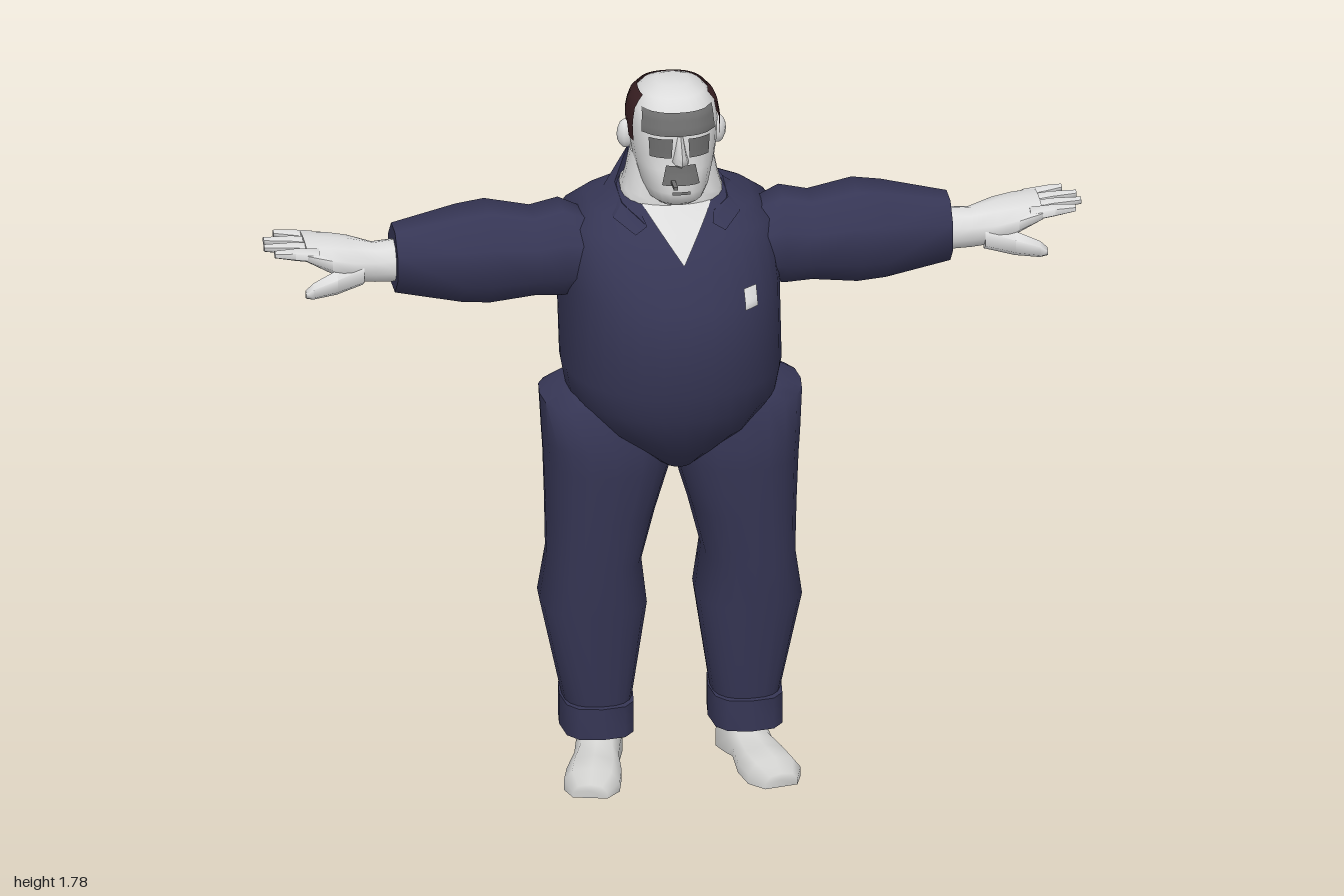
import * as THREE from 'three';
import { toCreasedNormals } from 'three/addons/utils/BufferGeometryUtils.js';

const mat = (name, color) => new THREE.MeshStandardMaterial({ name, color, side: THREE.DoubleSide });

// Skin rows of points into a surface; closed rows are tubes with capped ends
function loft(rows, closed = true, crease = 1.1) {
  const n = rows[0].length, pos = rows.flat(2), idx = [];
  const span = closed ? n : n - 1;
  for (let r = 0; r < rows.length - 1; r++) {
    for (let i = 0; i < span; i++) {
      const a = r * n + i, b = r * n + (i + 1) % n;
      idx.push(a, b, b + n, a, b + n, a + n);
    }
  }
  if (closed) {
    [0, rows.length - 1].forEach((r, end) => {
      const c = pos.length / 3;
      for (let k = 0; k < 3; k++) pos.push(rows[r].reduce((sum, p) => sum + p[k], 0) / n);
      for (let i = 0; i < n; i++) {
        const a = r * n + i, b = r * n + (i + 1) % n;
        idx.push(...(end ? [a, b, c] : [b, a, c]));
      }
    });
    // Turn the faces outward
    const at = i => new THREE.Vector3().fromArray(pos, i * 3);
    let volume = 0;
    for (let i = 0; i < idx.length; i += 3) volume += at(idx[i]).dot(at(idx[i + 1]).cross(at(idx[i + 2])));
    if (volume < 0) idx.reverse();
  }
  const g = new THREE.BufferGeometry();
  g.setAttribute('position', new THREE.Float32BufferAttribute(pos, 3));
  g.setIndex(idx);
  return toCreasedNormals(g, crease);
}

// Level outline point: half width w, front zf, back zb, widest at cz; a fifth row entry squares the back,
// ridge slopes the back to its sides
const pow = (v, e) => Math.sign(v) * Math.abs(v) ** (2 / e);
function outline([, w, zf, zb, square], t, { cz = 0, eF = 2, eB = 2, ridge = 0 }) {
  const s = Math.sin(t), e = s > 0 ? eF : square ?? eB, u = pow(Math.cos(t), e);
  const depth = s > 0 ? zf - cz : (cz - zb) * (1 - ridge * Math.abs(u));
  return [w * u, cz + depth * pow(s, e)];
}
const stack = (table, style, n = 24, cx = () => 0) => loft(table.map((row, r) =>
  Array.from({ length: n }, (_, i) => {
    const [x, z] = outline(row, i / n * Math.PI * 2, style);
    return [x + cx(r), row[0], z];
  })));

// Row of a table at any height
function rowAt(table, y) {
  const i = Math.max(1, table.findIndex(r => r[0] >= y));
  const a = table[i - 1], b = table[i], k = (y - a[0]) / (b[0] - a[0]);
  return a.map((v, j) => v + (b[j] - v) * k);
}

// Thin patch on the front of a stacked body, between two heights
function patch(table, style, x, [y0, w0], [y1, w1], lift = 0.006) {
  const rows = [];
  for (let r = 0; r <= 6; r++) {
    const k = r / 6, y = y0 + (y1 - y0) * k, hw = w0 + (w1 - w0) * k;
    const [, w, zf] = rowAt(table, y), e = style.eF;
    rows.push(Array.from({ length: 9 }, (_, i) => {
      const px = x + hw * (i / 4 - 1);
      const z = style.cz + (zf - style.cz) * Math.max(0, 1 - Math.abs(px / w) ** e) ** (1 / e);
      return [px, y, z + lift];
    }));
  }
  return loft(rows, false);
}

// Limb along x from rows of [x, y, ry, z, rz]
const limb = (table, side, n = 8) => loft(table.map(([x, y, ry, z, rz]) =>
  Array.from({ length: n }, (_, i) => {
    const t = (i + 0.5) / n * Math.PI * 2;
    return [side * x, y + Math.sin(t) * ry * 1.06, z + Math.cos(t) * rz * 1.06];
  })));

const TORSO = [[0.82, 0.06, 0.15, -0.1, 2], [0.86, 0.13, 0.18, -0.155, 2], [0.91, 0.2, 0.222, -0.22, 2.1],
  [0.98, 0.255, 0.255, -0.23, 2.4], [1.05, 0.268, 0.275, -0.178, 3.2], [1.28, 0.262, 0.3, -0.3, 6],
  [1.42, 0.25, 0.165, -0.22, 6], [1.46, 0.2, 0.125, -0.19, 5], [1.5, 0.11, 0.09, -0.155, 4]];
const TORSO_STYLE = { cz: -0.02, eF: 2.2, ridge: 0.18 };
const HEAD = [[1.5, 0.055, 0.13, -0.085], [1.515, 0.072, 0.155, -0.09], [1.545, 0.084, 0.168, -0.095],
  [1.6, 0.098, 0.155, -0.1], [1.64, 0.104, 0.15, -0.108], [1.7, 0.107, 0.152, -0.112],
  [1.74, 0.1, 0.138, -0.102], [1.77, 0.075, 0.105, -0.07], [1.785, 0.04, 0.06, -0.03]];
const HEAD_STYLE = { cz: 0.02, eF: 2.4, eB: 2.4 };

export function createModel() {
  const model = new THREE.Group();
  const cloth = mat('navy cloth', 0x363655), skin = mat('pale skin', 0xdcdcdc);
  const hairBrown = mat('dark brown hair', 0x381f22), grey = mat('face grey', 0x6e6e6e);
  const shoeMat = mat('pale shoe', 0xd2d2d0);
  const add = (name, geometry, material) => {
    const mesh = new THREE.Mesh(geometry, material);
    mesh.name = name;
    model.add(mesh);
    return mesh;
  };

  // Body, neck and head
  add('torso', stack(TORSO, TORSO_STYLE, 32), cloth);
  add('openNeckline', patch(TORSO, TORSO_STYLE, 0, [1.375, 0.001], [1.49, 0.085]), skin);
  add('badge', patch(TORSO, TORSO_STYLE, 0.16, [1.27, 0.017], [1.315, 0.017]), skin);
  add('neck', stack([[1.44, 0.12, 0.1, -0.13], [1.5, 0.124, 0.105, -0.155], [1.508, 0.121, 0.105, -0.11],
    [1.54, 0.112, 0.1, -0.095], [1.6, 0.1, 0.09, -0.095]], { cz: 0, eF: 2.2, eB: 2.5 }), skin);
  add('head', stack(HEAD, HEAD_STYLE), skin);
  add('nose', stack([[1.612, 0.012, 0.165, 0.13], [1.624, 0.022, 0.188, 0.13], [1.642, 0.016, 0.188, 0.13],
    [1.69, 0.008, 0.158, 0.13]], { cz: 0.14 }, 8), skin);

  // Face markings
  add('brow', patch(HEAD, HEAD_STYLE, 0, [1.693, 0.09], [1.747, 0.086], 0.008), grey);
  for (const s of [-1, 1]) add('eye', patch(HEAD, HEAD_STYLE, s * 0.047, [1.635, 0.025], [1.685, 0.028]), grey);
  add('moustache', patch(HEAD, HEAD_STYLE, 0, [1.568, 0.046], [1.618, 0.036], 0.009), grey);
  add('mouth', patch(HEAD, HEAD_STYLE, 0, [1.545, 0.022], [1.552, 0.022]), grey);
  add('mouthStick', new THREE.BoxGeometry(0.01, 0.008, 0.06), grey).position.set(-0.02, 1.578, 0.18);

  // Hair wrapped round the back and sides, cut out above the ears and bare on the crown
  const hairRows = [];
  for (let r = 0; r <= 8; r++) {
    hairRows.push(Array.from({ length: 57 }, (_, i) => {
      const t = Math.PI * (0.88 + i / 56 * 1.24), s = Math.sin(t);
      const low = s > 0.03 ? 1.652 : s > -0.22 ? 1.682 : 1.604;
      const y = low + (1.765 - low) * r / 8;
      const [x, z] = outline(rowAt(HEAD, y), t, HEAD_STYLE);
      return [x * 1.06, y + 0.003, 0.01 + (z - 0.01) * 1.06];
    }));
  }
  add('hair', loft(hairRows.reverse(), false), hairBrown);

  // Collar: stands at the back, folds to a point at each front side
  const inner = [[0, 1.49, -0.15], [0.085, 1.49, -0.14], [0.12, 1.48, -0.04], [0.118, 1.475, 0.05], [0.088, 1.47, 0.105]];
  const crest = [[0, 1.552, -0.168], [0.085, 1.544, -0.152], [0.132, 1.497, -0.045], [0.13, 1.484, 0.06], [0.08, 1.455, 0.145]];
  const outer = [[0, 1.485, -0.182], [0.105, 1.48, -0.172], [0.17, 1.468, -0.05], [0.155, 1.46, 0.09], [0.11, 1.438, 0.155]];
  const bothSides = row => [...row.slice(1).reverse().map(([x, y, z]) => [-x, y, z]), ...row];
  add('collar', loft([outer, crest, inner].map(bothSides), false, 0.5), cloth);

  for (const s of [-1, 1]) {
    // Ear
    const ear = add('ear', new THREE.SphereGeometry(1, 10, 8), skin);
    ear.scale.set(0.022, 0.037, 0.022);
    ear.position.set(s * 0.112, 1.643, 0);

    // Sleeve, hand, fingers and thumb
    add('sleeve', limb([[0.2, 1.345, 0.09, -0.005, 0.09], [0.27, 1.35, 0.113, -0.012, 0.112],
      [0.34, 1.345, 0.103, -0.01, 0.11], [0.45, 1.35, 0.119, -0.012, 0.123],
      [0.52, 1.348, 0.112, -0.012, 0.115], [0.68, 1.347, 0.08, -0.008, 0.08]], s), cloth);
    add('hand', limb([[0.66, 1.345, 0.052, 0, 0.05], [0.73, 1.343, 0.047, 0, 0.05],
      [0.79, 1.357, 0.048, 0, 0.075], [0.84, 1.372, 0.038, -0.003, 0.084],
      [0.9, 1.39, 0.022, -0.006, 0.078]], s, 10), skin);
    [[-0.062, -0.068, 0.965], [-0.025, -0.026, 0.995], [0.015, 0.018, 1], [0.05, 0.062, 0.98]].forEach(([z0, z1, tip]) =>
      add('finger', limb([[0.87, 1.388, 0.018, z0, 0.02], [0.93, 1.397, 0.015, (z0 + z1) / 2, 0.017],
        [tip, 1.403, 0.009, z1, 0.011]], s, 6), skin));
    add('thumb', limb([[0.76, 1.335, 0.034, 0.035, 0.032], [0.83, 1.324, 0.03, 0.072, 0.027],
      [0.89, 1.311, 0.02, 0.088, 0.018], [0.908, 1.305, 0.01, 0.09, 0.01]], s, 6), skin);

    // Trouser leg from rows of [y, inner x, outer x, front, back]
    const leg = [[0.15, 0.1, 0.262, 0.08, -0.122], [0.42, 0.06, 0.32, 0.115, -0.18], [0.54, 0.075, 0.302, 0.13, -0.15],
      [0.67, 0.042, 0.305, 0.142, -0.15], [0.8, 0.003, 0.31, 0.155, -0.15], [0.86, -0.005, 0.314, 0.158, -0.152],
      [0.963, -0.02, 0.32, 0.14, -0.158], [0.99, -0.02, 0.27, 0.13, -0.145]];
    add('trouserLeg', stack(leg.map(([y, a, b, f, k]) => [y, (b - a) / 2, f, k]),
      { cz: -0.02, eF: 2.6, eB: 2.8 }, 20, r => s * (leg[r][1] + leg[r][2]) / 2), cloth);
    add('cuff', stack([[0.09, 0.09, 0.1, -0.135], [0.17, 0.09, 0.1, -0.135]],
      { cz: -0.018, eF: 3, eB: 3 }, 12, () => s * 0.182), cloth);

    // Shoe from heel to toe, rows of [z, half width, sole, top]
    const shoe = add('shoe', loft([[-0.077, 0.04, 0.004, 0.09], [-0.05, 0.054, 0, 0.11], [0.02, 0.054, 0.008, 0.11],
      [0.06, 0.054, 0.016, 0.072], [0.13, 0.067, 0.002, 0.064], [0.2, 0.068, 0, 0.06], [0.246, 0.042, 0, 0.035]]
      .map(([z, w, y0, y1]) => [[-1, 0], [-1, 0.4], [-0.7, 0.85], [0, 1], [0.7, 0.85], [1, 0.4], [1, 0]]
        .map(([u, v]) => [u * w, y0 + (y1 - y0) * v, z]))), shoeMat);
    shoe.position.x = s * 0.178;
    shoe.rotation.y = s * 0.23;
  }
  return model;
}
